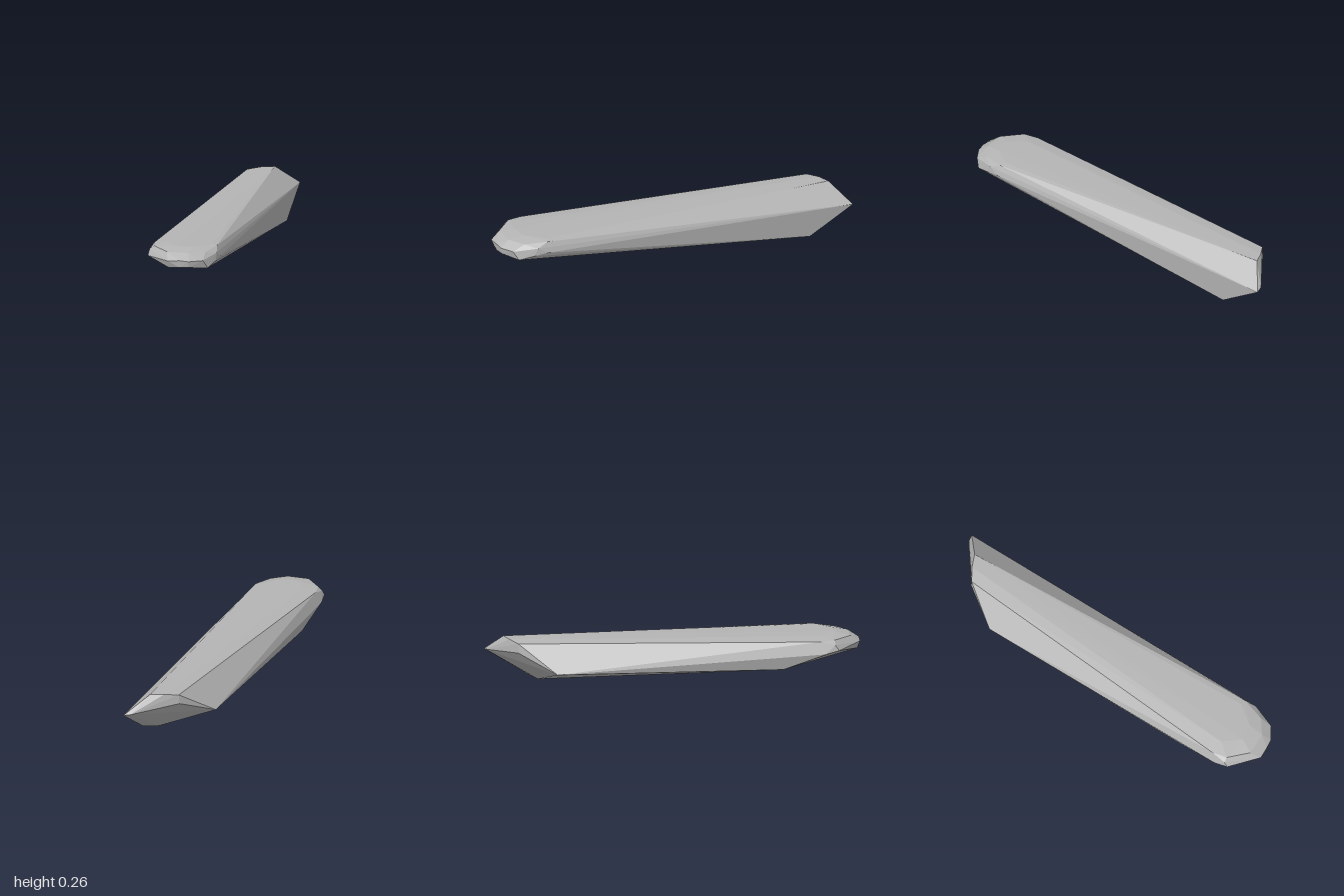
import * as THREE from 'three';
import { ConvexGeometry } from 'three/addons/geometries/ConvexGeometry.js';

// Faceted, tapering stone-like blade: rounded nose at +z, skewed point at -z.
export function createModel() {
  const group = new THREE.Group();
  group.name = 'blade';

  const stone = new THREE.MeshStandardMaterial({ color: 0xb4b4b4, flatShading: true });
  stone.name = 'grey stone';

  // Lower rim of the rounded nose
  const noseRim = [
    [-0.23, 0.19, 0.8], [-0.22, 0.205, 0.87], [-0.083, 0.176, 0.985], [-0.02, 0.181, 0.997],
    [0.03, 0.181, 0.99], [0.122, 0.17, 0.93], [0.15, 0.19, 0.85], [0.16, 0.2, 0.78],
  ];
  // Bulging middle of the nose
  const noseMiddle = [
    [-0.215, 0.235, 0.85], [-0.085, 0.215, 1], [-0.02, 0.22, 1], [0.03, 0.215, 0.995],
    [0.1, 0.215, 0.955], [0.15, 0.23, 0.83],
  ];
  // Upper rim, where the nose rolls into the flat top
  const noseTop = [
    [-0.205, 0.253, 0.77], [-0.19, 0.256, 0.85], [-0.1, 0.252, 0.945], [0.02, 0.25, 0.945],
    [0.1, 0.246, 0.89], [0.14, 0.255, 0.77], [-0.13, 0.264, 0.78], [-0.06, 0.265, 0.87],
    [0.03, 0.263, 0.86], [0.11, 0.26, 0.76],
  ];
  // Keel: kink under the nose, then the low heel near the back
  const keel = [
    [-0.203, 0.105, 0.57], [-0.17, 0.11, -0.65], [0.13, 0, -0.72], [0.208, 0, -0.755],
  ];
  // Slanted back end with its point on the left
  const tail = [
    [0.23, 0.152, -1], [0.19, 0.16, -0.995], [0.11, 0.257, -0.91], [0.04, 0.257, -0.885],
    [-0.03, 0.25, -0.845], [-0.035, 0.2, -0.845],
  ];

  const points = [...noseRim, ...noseMiddle, ...noseTop, ...keel, ...tail]
    .map((p) => new THREE.Vector3(...p));
  const body = new THREE.Mesh(new ConvexGeometry(points), stone);
  body.name = 'bladeBody';
  group.add(body);
  return group;
}
